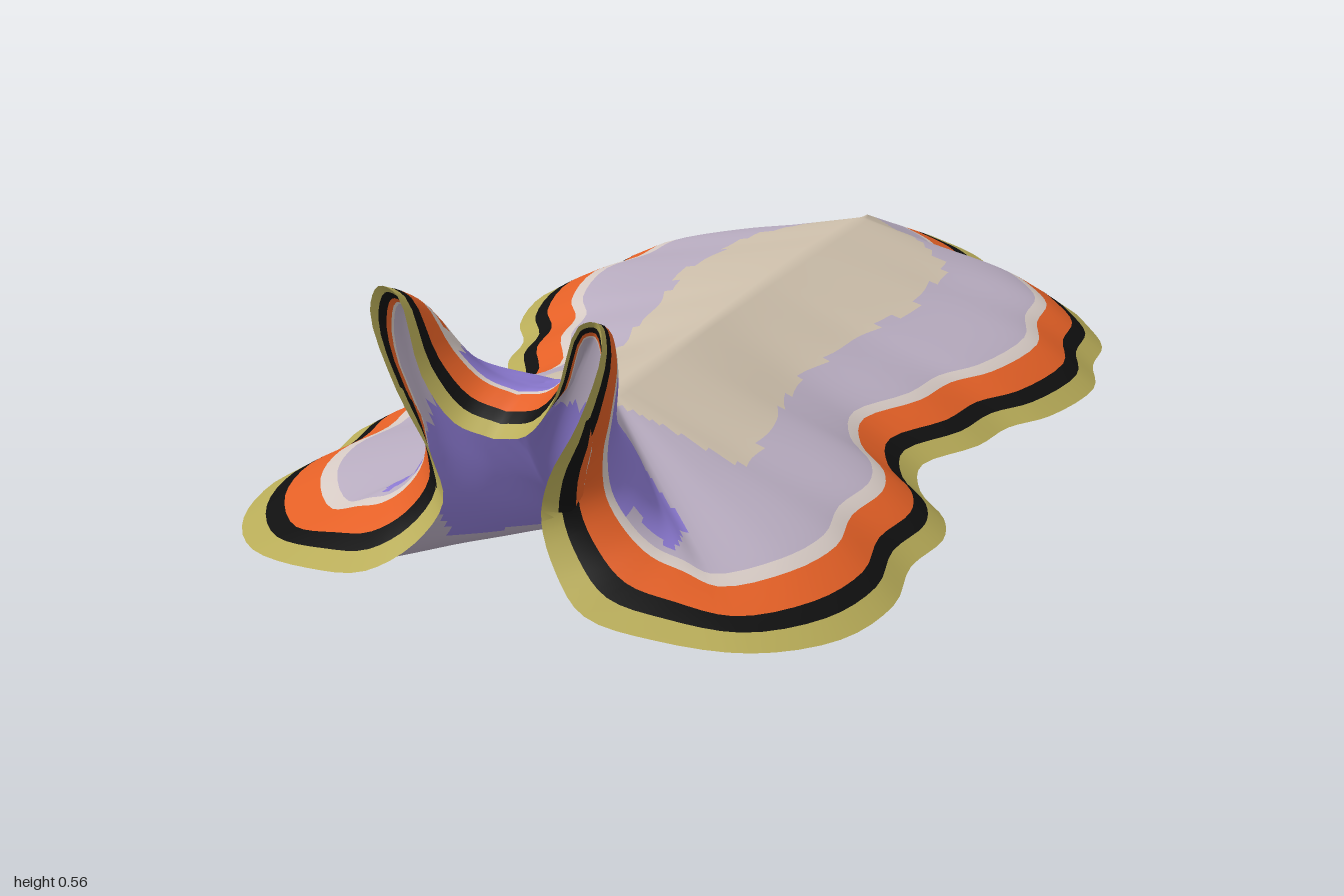
import * as THREE from 'three';
import { mergeVertices } from 'three/addons/utils/BufferGeometryUtils.js';

const V = (x, y, z) => new THREE.Vector3(x, y, z);
const mat = (name, color) => {
  const m = new THREE.MeshStandardMaterial({ color });
  m.name = name;
  return m;
};

// Half outline of the flat body (x, z), tail tip to front lobe
const OUTLINE = [
  [0, -1], [0.11, -0.94], [0.17, -0.885], [0.21, -0.835], [0.28, -0.78], [0.4, -0.725],
  [0.46, -0.66], [0.525, -0.565], [0.54, -0.47], [0.58, -0.36], [0.55, -0.2], [0.5, -0.12],
  [0.48, -0.02], [0.42, 0.1], [0.46, 0.21], [0.54, 0.3], [0.57, 0.38], [0.56, 0.5],
  [0.59, 0.65], [0.56, 0.8], [0.46, 0.93],
];

// Head sections: rim, band edge, flank and spine, from front lobe up the neck,
// round the horn and across to the middle of the brow
const HEAD = [
  [0.32, 0.06, 0.985, 0.30, 0.12, 0.84, 0.17, 0.185, 0.69, 0, 0.25, 0.51],
  [0.20, 0.085, 1.0, 0.25, 0.14, 0.85, 0.18, 0.197, 0.715, 0, 0.265, 0.54],
  [0.13, 0.13, 0.96, 0.205, 0.175, 0.85, 0.18, 0.22, 0.735, 0, 0.28, 0.57],
  [0.09, 0.20, 0.93, 0.17, 0.23, 0.85, 0.17, 0.255, 0.753, 0, 0.295, 0.60],
  [0.107, 0.28, 0.935, 0.165, 0.30, 0.85, 0.155, 0.30, 0.765, 0, 0.31, 0.63],
  [0.165, 0.39, 0.94, 0.178, 0.37, 0.85, 0.145, 0.34, 0.773, 0, 0.325, 0.66],
  [0.208, 0.52, 0.94, 0.195, 0.47, 0.86, 0.14, 0.375, 0.778, 0, 0.337, 0.685],
  [0.197, 0.56, 0.93, 0.185, 0.525, 0.868, 0.13, 0.40, 0.785, 0, 0.346, 0.70],
  [0.163, 0.55, 0.93, 0.15, 0.515, 0.865, 0.105, 0.40, 0.785, 0, 0.349, 0.71],
  [0.12, 0.42, 0.935, 0.105, 0.435, 0.85, 0.075, 0.38, 0.78, 0, 0.352, 0.72],
  [0.065, 0.345, 0.93, 0.058, 0.388, 0.84, 0.042, 0.37, 0.78, 0, 0.354, 0.73],
  [0, 0.325, 0.92, 0, 0.372, 0.835, 0, 0.365, 0.78, 0, 0.355, 0.74],
];

// Linear lookup in [position, value] pairs
function lookup(pairs, p) {
  if (p <= pairs[0][0]) return pairs[0][1];
  for (let i = 1; i < pairs.length; i++) {
    const [a, va] = pairs[i - 1], [b, vb] = pairs[i];
    if (p <= b) return va + ((vb - va) * (p - a)) / (b - a);
  }
  return pairs[pairs.length - 1][1];
}

const RIDGE = [[-0.64, 0.195], [-0.6, 0.2], [-0.3, 0.22], [0.5, 0.245]];
const SADDLE = [[-0.68, 0.05], [-0.64, 0.1], [-0.54, 0.21], [-0.3, 0.24], [-0.1, 0.2],
  [0.1, 0.18], [0.3, 0.22], [0.52, 0.27]];
// Width of the banded margin along the body
const MARGIN = [[-1, 0.155], [-0.78, 0.122], [0.5, 0.118], [0.85, 0.145]];
// The bands narrow on the inner face of the horns
const HORN_BANDS = [[0.36, 1], [0.45, 0.7]];

// Four-point cross-sections of the upper and lower skins
function sections() {
  const upper = [], lower = [];
  for (const [x, z] of OUTLINE) {
    const sz = z < -0.6 ? -0.6 + (z + 0.6) * 0.1 : z > 0.45 ? 0.45 + (z - 0.45) * 0.1 : z;
    const rim = V(x, z > 0.85 ? 0.042 : 0.028, z);
    const spine = V(0, lookup(RIDGE, sz), sz);
    const inward = V(-x, 0, sz - z).setLength(lookup(MARGIN, z));
    const edge = rim.clone().add(inward).setY(0.1);
    upper.push([rim, edge, edge.clone().lerp(spine, 0.52), spine]);
    const low = edge.clone().setY(0.01), keel = V(0, 0.012, sz);
    lower.push([rim, low, low.clone().lerp(keel, 0.5).setY(0.003), keel]);
  }
  HEAD.forEach((row, k) => {
    const pts = [0, 3, 6, 9].map((o) => V(row[o], row[o + 1], row[o + 2]));
    upper.push(pts);
    const t = k / (HEAD.length - 1);
    const dx = k < 8 ? -0.02 : k === 9 ? 0.01 : 0;
    const low = pts[1].clone().add(V(dx, -0.015 - 0.08 * (1 - t) ** 2, 0.02));
    const keel = V(0, 0.02 + 0.3 * t ** 1.1, 0.5 + 0.33 * Math.sqrt(t));
    lower.push([pts[0], low, low.clone().lerp(keel, 0.5), keel]);
  });
  return { upper, lower };
}

// Colour slots: 0 olive, 1 black, 2 orange, 3 cream, 4 lavender, 5 beige, 6 purple
function skinColour(p, top) {
  const x = Math.abs(p.x);
  if (p.z > -0.68 && p.z < 0.52 && x < lookup(SADDLE, p.z)) return 5;
  if (top) {
    // horn backs: orange tip, cream ring, purple below
    if (p.y > 0.465) return 2;
    if (p.y > 0.43) return 3;
    const flank = x < 0.2 || (x < 0.3 && p.z < 0.815);
    return flank && p.y > 0.14 && p.z > 0.6 + 0.6 * Math.max(0, x - 0.04) ? 6 : 4;
  }
  return p.z > 0.6 && x < 0.15 && p.y > 0.07 && p.y < 0.37 ? 6 : 4;
}

// Skin swept round the whole rim, with colour bands parallel to the edge
function skin(name, stations, bands, top, materials) {
  const steps = (stations.length - 1) * 4, inner = 24;
  const tracks = [0, 1, 2, 3].map((i) => new THREE.CatmullRomCurve3(stations.map((s) => s[i])));
  const half = [];
  for (let j = 0; j <= steps; j++) {
    const across = new THREE.CatmullRomCurve3(tracks.map((c) => c.getPoint(j / steps)));
    const scale = top ? 1 : lookup(HORN_BANDS, across.points[0].y);
    const rows = [0, ...bands.map((b) => b * scale)];
    const last = rows[rows.length - 1];
    for (let i = 1; i <= inner; i++) rows.push(last + ((3 - last) * i) / inner);
    half.push(rows.map((v) => across.getPoint(v / 3)));
  }
  // mirror the half to close the loop
  const loop = [...half];
  for (let j = steps - 1; j > 0; j--) loop.push(half[j].map((p) => V(-p.x, p.y, p.z)));

  const n = half[0].length, positions = [], faces = materials.map(() => []);
  loop.forEach((col) => col.forEach((p) => {
    positions.push(Math.abs(p.x) < 1e-5 ? 0 : p.x, Math.max(0, p.y), p.z);
  }));
  for (let j = 0; j < loop.length; j++) {
    const k = (j + 1) % loop.length;
    for (let i = 0; i < n - 1; i++) {
      const a = j * n + i, b = a + 1, c = k * n + i, d = c + 1;
      const mid = loop[j][i].clone().add(loop[j][i + 1]).add(loop[k][i]).add(loop[k][i + 1])
        .multiplyScalar(0.25);
      const slot = i < bands.length ? i : skinColour(mid, top);
      faces[slot].push(...(top ? [a, b, c, b, d, c] : [a, c, b, b, c, d]));
    }
  }
  let geo = new THREE.BufferGeometry();
  geo.setAttribute('position', new THREE.Float32BufferAttribute(positions, 3));
  geo.setIndex(faces.flat());
  geo = mergeVertices(geo, 1e-5);
  let start = 0;
  faces.forEach((f, i) => {
    if (f.length) geo.addGroup(start, f.length, i);
    start += f.length;
  });
  geo.computeVertexNormals();
  const mesh = new THREE.Mesh(geo, materials);
  mesh.name = name;
  return mesh;
}

export function createModel() {
  const materials = [
    mat('olive rim', 0xb8ac58), mat('black band', 0x101010), mat('orange band', 0xe46026),
    mat('cream band', 0xd6cac4), mat('lavender skin', 0xb8acc0), mat('beige saddle', 0xcdbfab),
    mat('purple neck', 0x8c7ad2),
  ];
  materials.forEach((m) => { m.side = THREE.DoubleSide; });
  const { upper, lower } = sections();
  const group = new THREE.Group();
  group.name = 'seaSlug';
  group.add(
    skin('upperBodyAndHorns', upper, [0.3, 0.54, 0.96, 1.1], true, materials),
    skin('underside', lower, [0.32, 0.65, 0.85, 0.95], false, materials),
  );
  return group;
}
